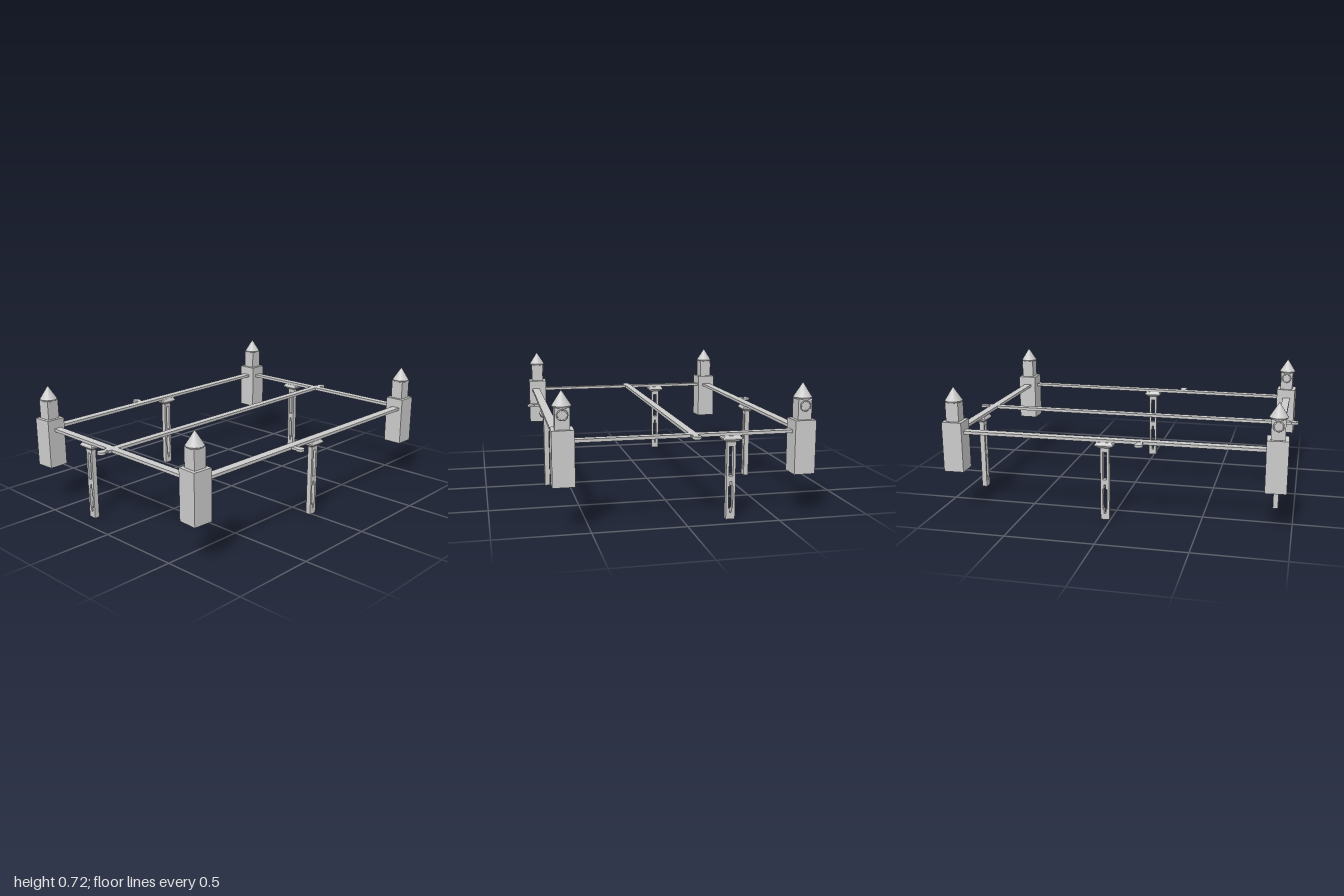
import * as THREE from 'three';

const mat = new THREE.MeshStandardMaterial({ color: 0xcccccc, side: THREE.DoubleSide });
const RAIL_Y = 0.462, RAIL_H = 0.017;

function add(parent, name, geo, x = 0, y = 0, z = 0) {
  const m = new THREE.Mesh(geo, mat);
  m.name = name;
  m.position.set(x, y, z);
  parent.add(m);
  return m;
}

function group(parent, name, x, z, turn = 0) {
  const g = new THREE.Group();
  g.name = name;
  g.position.set(x, 0, z);
  g.rotation.y = turn;
  parent.add(g);
  return g;
}

// Four-sided block with different footprints at bottom and top
function taperedBlock(wb, db, wt, dt, h) {
  const geo = new THREE.BoxGeometry(1, h, 1);
  const p = geo.attributes.position;
  for (let i = 0; i < p.count; i++) {
    const top = p.getY(i) > 0;
    p.setX(i, p.getX(i) * (top ? wt : wb));
    p.setZ(i, p.getZ(i) * (top ? dt : db));
  }
  const flat = geo.toNonIndexed();
  flat.computeVertexNormals();
  return flat;
}

// Corner tower: block, belfry, clock disc and conical roof
function tower(parent, name, x, z, turn, clockAngle) {
  const g = group(parent, name, x, z, turn);
  add(g, 'towerBlock', new THREE.BoxGeometry(0.116, 0.29, 0.116), 0, 0.38, 0);
  add(g, 'belfry', new THREE.BoxGeometry(0.076, 0.115, 0.076), 0, 0.58, 0);
  add(g, 'eave', new THREE.CylinderGeometry(0.05, 0.044, 0.01, 32), 0, 0.638, 0);
  add(g, 'roof', new THREE.ConeGeometry(0.05, 0.079, 32), 0, 0.6825, 0);
  const clock = group(g, 'clock', 0, 0, clockAngle);
  const face = add(clock, 'clockFace', new THREE.CylinderGeometry(0.026, 0.026, 0.008, 24), 0, 0.6, 0.04);
  face.rotation.x = Math.PI / 2;
  add(clock, 'clockRim', new THREE.TorusGeometry(0.026, 0.004, 8, 24), 0, 0.6, 0.042);
}

// Flat rail between two ground points
function rail(parent, name, x0, z0, x1, z1, width) {
  const dx = x1 - x0, dz = z1 - z0;
  const m = add(parent, name, new THREE.BoxGeometry(width, RAIL_H, Math.hypot(dx, dz)),
    (x0 + x1) / 2, RAIL_Y, (z0 + z1) / 2);
  m.rotation.y = Math.atan2(dx, dz);
}

// Round tab on a short neck, pointing to +z before turning
function tab(parent, name, x, z, turn) {
  const g = group(parent, name, x, z, turn);
  add(g, 'tabDisc', new THREE.CylinderGeometry(0.024, 0.024, 0.014, 24), 0, RAIL_Y, 0);
  add(g, 'tabNeck', new THREE.BoxGeometry(0.03, 0.014, 0.05), 0, RAIL_Y, -0.035);
}

function polygon(Type, points) {
  return new Type(points.map(([x, y]) => new THREE.Vector2(x, y)));
}

// Pierced leg with a flared capital
function leg(parent, name, x, z, turn) {
  const g = group(parent, name, x, z, turn);
  const outline = polygon(THREE.Shape, [[-0.025, 0], [0.025, 0], [0.025, 0.425], [-0.025, 0.425]]);
  outline.holes.push(
    polygon(THREE.Path, [[-0.011, 0.235], [-0.011, 0.395], [0.011, 0.395], [0.011, 0.235]]),
    polygon(THREE.Path, [[-0.005, 0.035], [-0.005, 0.06], [-0.012, 0.06], [-0.012, 0.18], [-0.005, 0.18],
      [-0.005, 0.205], [0.005, 0.205], [0.005, 0.18], [0.012, 0.18], [0.012, 0.06], [0.005, 0.06], [0.005, 0.035]]));
  add(g, 'piercedLeg', new THREE.ExtrudeGeometry(outline, { depth: 0.03, bevelEnabled: false }), 0, 0, -0.015);
  add(g, 'capitalFlare', taperedBlock(0.066, 0.04, 0.104, 0.07, 0.014), 0, 0.427, 0);
  add(g, 'capitalBand', new THREE.BoxGeometry(0.104, 0.008, 0.07), 0, 0.438, 0);
  add(g, 'capitalTop', taperedBlock(0.104, 0.07, 0.084, 0.054, 0.012), 0, 0.448, 0);
}

export function createModel() {
  const model = new THREE.Group();
  model.name = 'towerFrame';

  // Corner towers, slightly out of square
  const toBack = Math.PI, toRight = -Math.PI / 2;
  tower(model, 'backRightTower', -0.645, -0.908, 0.02, toBack);
  tower(model, 'backLeftTower', 0.631, -0.913, -0.02, toBack);
  tower(model, 'frontRightTower', -0.626, 0.905, 0.05, toRight);
  tower(model, 'frontLeftTower', 0.605, 0.902, -0.06, toRight);

  // Outer rails and the long centre rail
  rail(model, 'rightRail', -0.648, -0.908, -0.628, 0.905, 0.05);
  rail(model, 'leftRail', 0.643, -0.913, 0.619, 0.902, 0.05);
  rail(model, 'backRail', -0.645, -0.905, 0.631, -0.911, 0.046);
  rail(model, 'frontRail', -0.626, 0.893, 0.605, 0.904, 0.046);
  rail(model, 'centreRail', -0.05, -0.948, -0.05, 0.945, 0.043);

  // Round end tabs
  tab(model, 'frontTab', -0.05, 0.976, 0);
  tab(model, 'backTab', -0.05, -0.976, Math.PI);
  tab(model, 'rightTab', -0.705, 0.172, -Math.PI / 2);
  tab(model, 'leftTab', 0.702, 0.194, Math.PI / 2);

  // One leg under the middle of each outer rail
  leg(model, 'frontLeg', -0.251, 0.896, 0);
  leg(model, 'backLeg', -0.253, -0.908, 0);
  leg(model, 'rightLeg', -0.639, -0.03, Math.PI / 2);
  leg(model, 'leftLeg', 0.631, -0.01, Math.PI / 2);
  return model;
}
